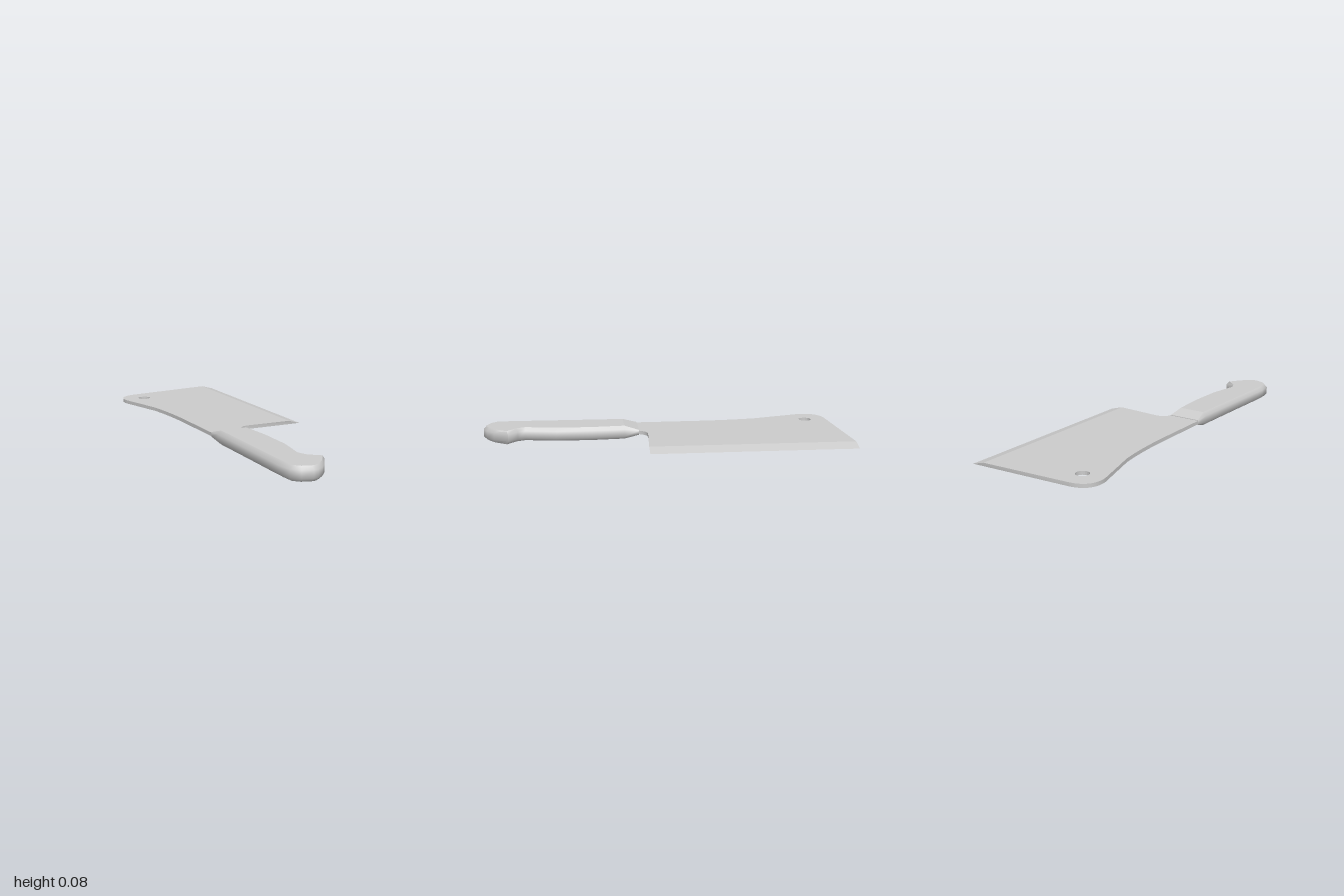
import * as THREE from 'three';
import { toCreasedNormals } from 'three/addons/utils/BufferGeometryUtils.js';

const MID = 0.0395; // height of the handle's centre plane

// Handle stations: outer z, left x, right x | inner z, left x, right x | half heights of face and side
const STATIONS = [
  [0.14, -0.25, -0.07, 0.14, -0.247, -0.073, 0.014, 0.011],
  [0.22, -0.254, -0.067, 0.22, -0.234, -0.087, 0.0375, 0.02],
  [0.40, -0.26, -0.06, 0.40, -0.239, -0.077, 0.0375, 0.02],
  [0.60, -0.266, -0.063, 0.60, -0.245, -0.084, 0.0375, 0.02],
  [0.77, -0.272, -0.097, 0.77, -0.251, -0.115, 0.0375, 0.02],
  [0.81, -0.274, -0.08, 0.82, -0.252, -0.095, 0.0375, 0.02],
  [0.86, -0.276, -0.024, 0.868, -0.253, -0.041, 0.0375, 0.02],
  [0.94, -0.265, -0.077, 0.933, -0.25, -0.087, 0.0375, 0.02],
  [0.98, -0.228, -0.115, 0.965, -0.222, -0.122, 0.0375, 0.02],
  [1.0, -0.175, -0.15, 0.983, -0.178, -0.155, 0.0375, 0.02],
];

function meshFrom(points, faces, crease, material, name) {
  const g = new THREE.BufferGeometry();
  g.setAttribute('position', new THREE.Float32BufferAttribute(points.flat(), 3));
  g.setIndex(faces);
  const mesh = new THREE.Mesh(toCreasedNormals(g, crease), material);
  mesh.name = name;
  return mesh;
}

function makeHandle(material) {
  const handle = new THREE.Group();
  handle.name = 'handle';
  const n = STATIONS.length;

  // Flat faces, tapering towards the blade
  for (const sign of [1, -1]) {
    const points = [], faces = [];
    STATIONS.forEach(([, , , z, xl, xr, h], i) => {
      const y = MID + sign * h;
      points.push([xl, y, z], [xr, y, z]);
      if (i === n - 1) return;
      const a = 2 * i, b = a + 1, c = a + 2, d = a + 3;
      faces.push(...(sign > 0 ? [a, c, d, a, d, b] : [a, d, c, a, b, d]));
    });
    handle.add(meshFrom(points, faces, 0.2, material, sign > 0 ? 'handleTopFace' : 'handleBottomFace'));
  }

  // Chamfered rim: down the left side, round the butt and back up the right
  const column = (x, z, ix, iz, h, hs) => [
    [ix, MID - h, iz], [x, MID - hs, z], [x, MID + hs, z], [ix, MID + h, iz],
  ];
  const left = STATIONS.map(([z, xl, , iz, il, , h, hs]) => column(xl, z, il, iz, h, hs));
  const right = STATIONS.map(([z, , xr, iz, , ir, h, hs]) => column(xr, z, ir, iz, h, hs));
  const loop = [...left, ...right.reverse()];
  const faces = [];
  loop.forEach((_, i) => {
    const j = (i + 1) % loop.length;
    for (let k = 0; k < 3; k++) {
      const a = 4 * i + k, b = 4 * j + k;
      faces.push(a, b, b + 1, a, b + 1, a + 1);
    }
  });
  handle.add(meshFrom(loop.flat(), faces, 1.1, material, 'handleRim'));
  return handle;
}

function makeBlade(material) {
  // Outline drawn with shape y = -z
  const s = new THREE.Shape();
  s.moveTo(-0.07, -0.16);
  s.lineTo(-0.07, -0.14);
  s.bezierCurveTo(-0.055, -0.11, -0.035, -0.093, 0, -0.095);
  s.lineTo(0.317, -0.112);
  s.lineTo(0.336, 1);
  s.lineTo(-0.23, 0.966);
  s.bezierCurveTo(-0.31, 0.96, -0.35, 0.91, -0.337, 0.83);
  s.lineTo(-0.268, 0.56);
  s.quadraticCurveTo(-0.245, 0.4, -0.246, 0.2);
  s.lineTo(-0.25, -0.16);
  s.closePath();

  // Hanging hole
  const hole = new THREE.Path();
  hole.absarc(-0.215, 0.845, 0.035, 0, Math.PI * 2, true);
  s.holes.push(hole);

  const g = new THREE.ExtrudeGeometry(s, { depth: 0.02, bevelEnabled: false, curveSegments: 10 });
  // Pull the upper rim of the cutting edge inwards to grind a single bevel
  const p = g.attributes.position;
  for (let i = 0; i < p.count; i++) {
    if (p.getX(i) > 0.3 && p.getZ(i) > 0.01) p.setX(i, p.getX(i) - 0.07);
  }
  g.rotateX(-Math.PI / 2);
  g.translate(0, 0.03, 0);
  // Crease below the bevel angle so the ground edge stays crisp
  const blade = new THREE.Mesh(toCreasedNormals(g, 0.25), material);
  blade.name = 'blade';
  return blade;
}

export function createModel() {
  const material = new THREE.MeshStandardMaterial({ color: 0xcccccc });
  const model = new THREE.Group();
  model.name = 'cleaver';
  model.add(makeBlade(material), makeHandle(material));
  return model;
}
